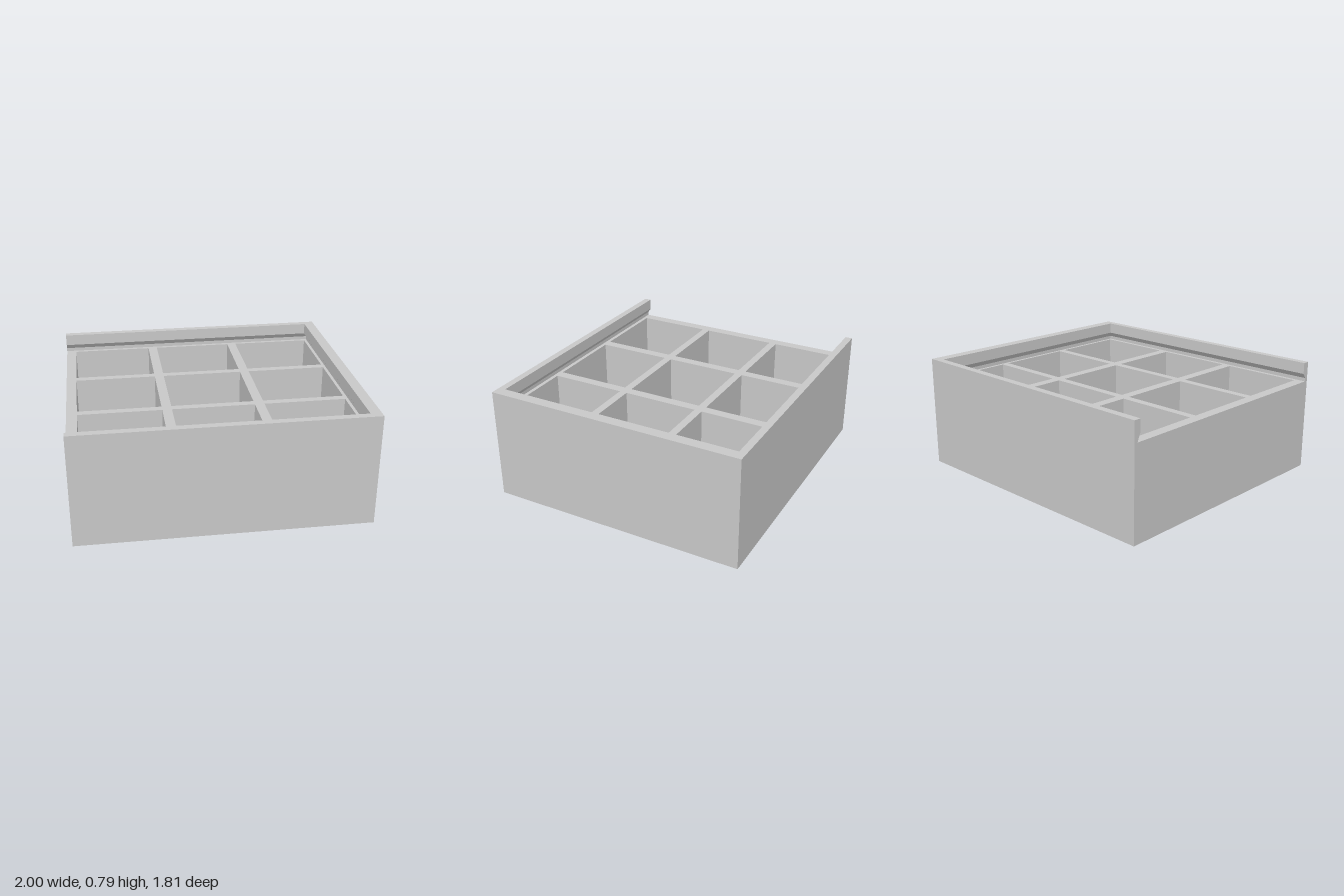
import * as THREE from 'three';

const X = 1, Z = 0.907;               // half width and half depth
const FLOOR = 0.05, LEDGE = 0.65, TOP = 0.79;
const CELL_X = 0.287, CELL_Z = 0.267; // half size of a compartment
const STEP_X = 0.641, STEP_Z = 0.588; // compartment spacing

export function createModel() {
  const grey = new THREE.MeshStandardMaterial({ color: 0xc8c8c8 });
  grey.name = 'light grey';
  const model = new THREE.Group();
  model.name = 'compartmentBox';

  const add = (name, geometry, x = 0, y = 0, z = 0) => {
    const mesh = new THREE.Mesh(geometry, grey);
    mesh.name = name;
    mesh.position.set(x, y, z);
    model.add(mesh);
    return mesh;
  };

  const rect = (path, cx, cy, hx, hy) => {
    path.moveTo(cx - hx, cy - hy);
    path.lineTo(cx + hx, cy - hy);
    path.lineTo(cx + hx, cy + hy);
    path.lineTo(cx - hx, cy + hy);
    path.closePath();
    return path;
  };

  // Solid floor
  add('floor', new THREE.BoxGeometry(2 * X, FLOOR, 2 * Z), 0, FLOOR / 2, 0);

  // Outer walls and dividers as one grid with nine openings
  const gridShape = rect(new THREE.Shape(), 0, 0, X, Z);
  const pyramid = new THREE.ConeGeometry(1, 0.18, 4, 1, true).toNonIndexed();
  pyramid.scale(CELL_X, 1, CELL_Z);
  pyramid.computeVertexNormals();
  for (const i of [-1, 0, 1]) {
    for (const j of [-1, 0, 1]) {
      gridShape.holes.push(rect(new THREE.Path(), i * STEP_X, j * STEP_Z, CELL_X, CELL_Z));
      // Raised four-sided pyramid on the compartment floor
      add('compartmentPyramid', pyramid, i * STEP_X, FLOOR + 0.09, j * STEP_Z);
    }
  }
  const grid = new THREE.ExtrudeGeometry(gridShape, { depth: LEDGE - FLOOR, bevelEnabled: false });
  grid.rotateX(-Math.PI / 2);
  add('wallsAndDividers', grid, 0, FLOOR, 0);

  // U-shaped rim with an undercut slot for a sliding lid, open towards -x
  add('lidRail', railGeometry());
  return model;
}

function railGeometry() {
  // Profile: inset from the side walls, inset from the end wall, height
  const profile = [
    [0, 0, LEDGE], [0, 0, TOP], [0.05, 0.075, TOP],
    [0.05, 0.075, 0.71], [0.025, 0.05, 0.675], [0.025, 0.05, LEDGE],
  ];
  // Stations: x, z, inward direction in x, inward direction in z
  const stations = [[-X, -Z, 0, 1], [X, -Z, -1, 1], [X, Z, -1, -1], [-X, Z, 0, -1]];
  const rings = stations.map(([x, z, ix, iz]) =>
    profile.map(([dz, dx, y]) => [x + ix * dx, y, z + iz * dz]));

  const positions = [];
  const quad = (a, b, c, d) => positions.push(...a, ...b, ...c, ...a, ...c, ...d);
  for (let i = 0; i < 3; i++) {
    for (let k = 0; k < profile.length; k++) {
      const n = (k + 1) % profile.length;
      quad(rings[i][k], rings[i][n], rings[i + 1][n], rings[i + 1][k]);
    }
  }
  // Closed ends of the two rails
  const first = rings[0], last = rings[3];
  for (const [a, b, c, d] of [[0, 1, 2, 3], [0, 3, 4, 5]]) {
    quad(first[d], first[c], first[b], first[a]);
    quad(last[a], last[b], last[c], last[d]);
  }
  const geometry = new THREE.BufferGeometry();
  geometry.setAttribute('position', new THREE.Float32BufferAttribute(positions, 3));
  geometry.computeVertexNormals();
  return geometry;
}
